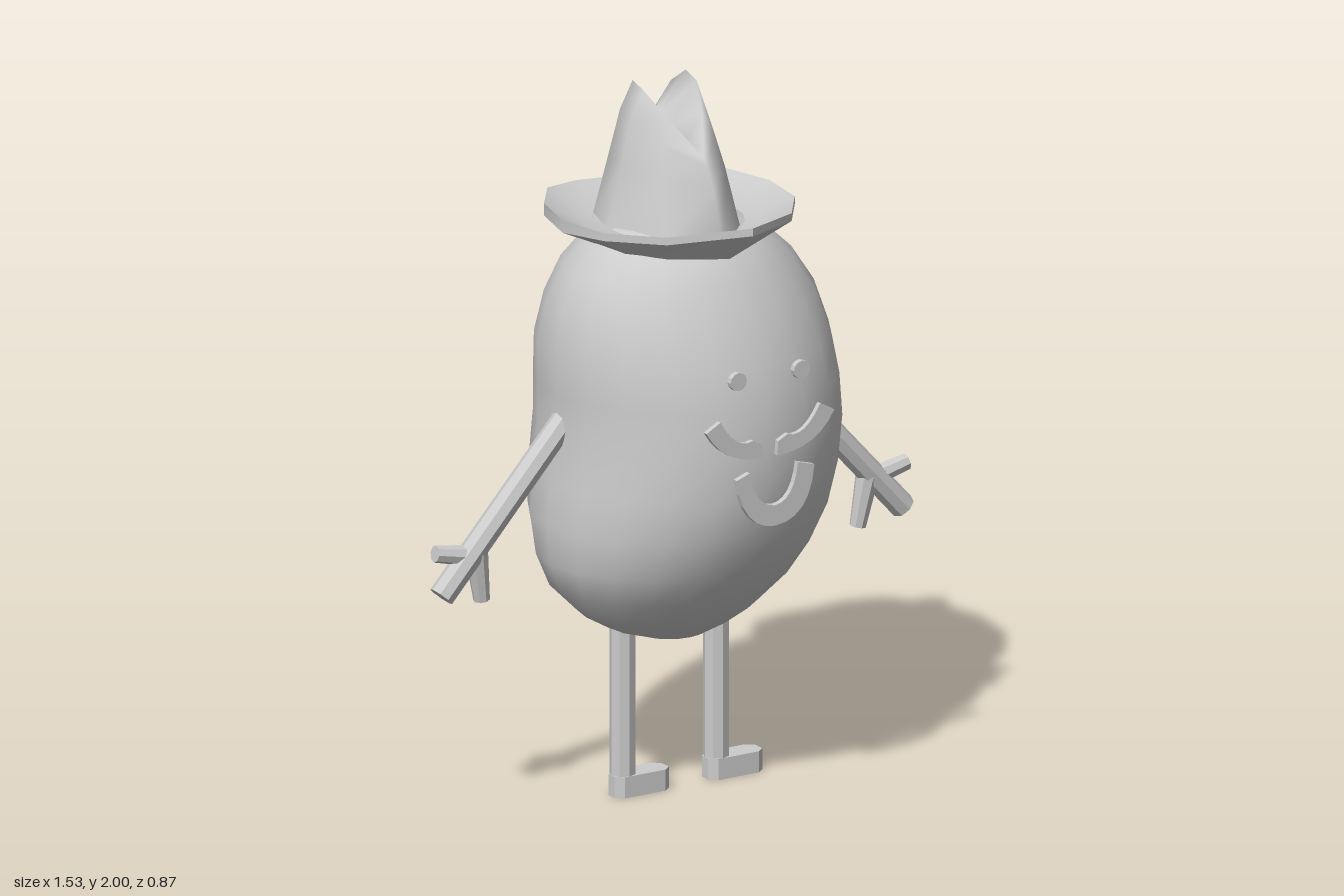
import * as THREE from 'three';
import { mergeVertices, toCreasedNormals } from 'three/addons/utils/BufferGeometryUtils.js';

const smooth = new THREE.MeshStandardMaterial({ color: 0xcccccc, side: THREE.DoubleSide });
const flat = new THREE.MeshStandardMaterial({ color: 0xcccccc, flatShading: true });

function add(parent, name, geometry, material) {
  const mesh = new THREE.Mesh(geometry, material);
  mesh.name = name;
  parent.add(mesh);
  return mesh;
}

// Skin a stack of closed rings of [x, y, z] points
function loft(rings) {
  const n = rings[0].length, index = [];
  for (let i = 0; i < rings.length - 1; i++) {
    for (let j = 0; j < n; j++) {
      const a = i * n + j, b = i * n + (j + 1) % n;
      index.push(a, a + n, b, b, a + n, b + n);
    }
  }
  const geo = new THREE.BufferGeometry();
  geo.setAttribute('position', new THREE.Float32BufferAttribute(rings.flat(2), 3));
  geo.setIndex(index);
  const merged = mergeVertices(geo, 1e-4);
  merged.computeVertexNormals();
  return merged;
}

// Complete a half outline (back to front along +x) into a mirrored loop
const mirrorLoop = (half) => [
  ...half,
  ...half.slice(1, -1).reverse().map(([x, y, z]) => [-x, y, z]),
];

// Bean-shaped body: [y, right x, left x, half depth]
function bodyGeometry() {
  const rows = [
    [0.43, 0, 0, 0], [0.44, -0.1, 0.1, 0.09], [0.47, -0.19, 0.17, 0.14],
    [0.52, -0.275, 0.245, 0.205], [0.6, -0.355, 0.33, 0.28], [0.69, -0.39, 0.39, 0.335],
    [0.8, -0.4, 0.435, 0.385], [0.92, -0.388, 0.46, 0.41], [1.05, -0.37, 0.47, 0.42],
    [1.17, -0.372, 0.463, 0.412], [1.28, -0.376, 0.445, 0.39], [1.4, -0.355, 0.405, 0.345],
    [1.5, -0.31, 0.34, 0.295], [1.57, -0.245, 0.265, 0.245], [1.61, -0.18, 0.19, 0.19],
    [1.632, -0.1, 0.1, 0.1], [1.637, 0, 0, 0],
  ];
  const sides = 20;
  return loft(rows.map(([y, right, left, depth]) =>
    Array.from({ length: sides }, (_, j) => {
      const a = (j / sides) * Math.PI * 2;
      const x = (left + right) / 2 + ((left - right) / 2) * Math.cos(a);
      return [x, y, -0.01 + depth * Math.sin(a)];
    })));
}

// Upturned brim with a raised point at the front
function brimGeometry() {
  const rim = mirrorLoop([
    [0, 1.635, -0.345], [0.09, 1.638, -0.355], [0.2, 1.645, -0.325], [0.29, 1.65, -0.2],
    [0.332, 1.652, -0.04], [0.305, 1.657, 0.13], [0.2, 1.668, 0.28], [0, 1.692, 0.4],
  ]);
  const ring = (scale, y) => rim.map(([x, , z]) => [x * scale, y, z * scale]);
  const lip = rim.map(([x, y, z]) => [x, y - (z > 0 ? 0.022 : 0.035), z]);
  return toCreasedNormals(
    loft([ring(0.4, 1.585), ring(0.7, 1.572), lip, rim, ring(0.7, 1.606), ring(0.4, 1.605)]), 0.7);
}

// Pinched crown with two peaks and a valley between them
function crownGeometry() {
  const base = [[0, 1.6, -0.155], [0.08, 1.6, -0.175], [0.15, 1.6, -0.175],
    [0.19, 1.6, -0.04], [0.125, 1.6, 0.14], [0, 1.6, 0.25]];
  const middle = [[0, 1.77, -0.125], [0.065, 1.77, -0.15], [0.12, 1.77, -0.145],
    [0.145, 1.78, -0.035], [0.1, 1.77, 0.1], [0, 1.75, 0.2]];
  const upper = [[0, 1.87, -0.11], [0.06, 1.9, -0.13], [0.1, 1.91, -0.115],
    [0.118, 1.9, -0.035], [0.085, 1.86, 0.07], [0, 1.8, 0.17]];
  const rim = [[0, 1.9, -0.1], [0.06, 1.965, -0.11], [0.085, 2, -0.075],
    [0.085, 1.985, -0.02], [0.055, 1.92, 0.055], [0, 1.825, 0.15]];
  const valley = [[0, 1.905, -0.09], [0, 1.905, -0.075], [0, 1.9, -0.06],
    [0, 1.88, -0.01], [0, 1.85, 0.06], [0, 1.82, 0.14]];
  return loft([base, middle, upper, rim, valley].map(mirrorLoop));
}

// Faceted rod between two points
function rod(parent, name, from, to, r0, r1 = r0) {
  const a = new THREE.Vector3(...from), b = new THREE.Vector3(...to);
  const dir = b.clone().sub(a);
  const mesh = add(parent, name, new THREE.CylinderGeometry(r1, r0, dir.length(), 8), flat);
  mesh.position.copy(a).add(b).multiplyScalar(0.5);
  mesh.quaternion.setFromUnitVectors(new THREE.Vector3(0, 1, 0), dir.normalize());
  return mesh;
}

const outline = (points) => new THREE.Shape(points.map(([x, y]) => new THREE.Vector2(x, y)));

function plate(parent, name, shape, z, depth) {
  const geo = new THREE.ExtrudeGeometry(shape, { depth, bevelEnabled: false, curveSegments: 6 });
  return add(parent, name, geo.translate(0, 0, z), flat);
}

export function createModel() {
  const model = new THREE.Group();
  add(model, 'body', bodyGeometry(), smooth);

  // Hat
  const hat = new THREE.Group();
  hat.name = 'hat';
  add(hat, 'hatBrim', brimGeometry(), smooth);
  add(hat, 'hatCrown', crownGeometry(), smooth);
  model.add(hat);

  // Face: floating plates just in front of the body
  const face = new THREE.Group();
  face.name = 'face';
  for (const x of [-0.058, 0.145]) {
    const eye = add(face, 'eye', new THREE.CylinderGeometry(0.026, 0.026, 0.017, 12), flat);
    eye.rotation.x = Math.PI / 2;
    eye.position.set(x, 1.27, 0.411);
  }
  for (const s of [-1, 1]) {
    const half = new THREE.Shape();
    const x = (d) => 0.035 + s * d;
    half.moveTo(x(0.022), 1.045);
    half.quadraticCurveTo(x(0.15), 1.045, x(0.205), 1.145);
    half.lineTo(x(0.16), 1.17);
    half.quadraticCurveTo(x(0.11), 1.08, x(0.055), 1.1);
    half.lineTo(x(0.025), 1.085);
    plate(face, 'moustacheHalf', half, 0.418, 0.015);
  }
  const mouth = outline([[-0.074, 0.995], [-0.032, 1.01]]);
  mouth.quadraticCurveTo(-0.015, 0.91, 0.048, 0.905);
  mouth.quadraticCurveTo(0.11, 0.91, 0.122, 1.015);
  mouth.lineTo(0.175, 1);
  mouth.quadraticCurveTo(0.16, 0.85, 0.048, 0.847);
  mouth.quadraticCurveTo(-0.055, 0.85, -0.074, 0.995);
  plate(face, 'mouth', mouth, 0.418, 0.017);
  model.add(face);

  // Arms with three-fingered hands
  for (const s of [-1, 1]) {
    const arm = new THREE.Group();
    arm.name = s > 0 ? 'leftArm' : 'rightArm';
    const z = -0.01;
    rod(arm, 'armAndMiddleFinger', [s * 0.3, 1.145, z], [s * 0.74, 0.66, z], 0.036);
    rod(arm, 'outerFinger', [s * 0.62, 0.755, z], [s * 0.755, 0.782, z - 0.008], 0.03, 0.024);
    rod(arm, 'innerFinger', [s * 0.63, 0.785, z], [s * 0.603, 0.625, z - 0.012], 0.034, 0.023);
    model.add(arm);
  }

  // Legs and sideways-pointing feet
  for (const x of [-0.165, 0.135]) {
    const leg = new THREE.Group();
    leg.name = x > 0 ? 'leftLeg' : 'rightLeg';
    rod(leg, 'shin', [x, 0, 0], [x, 0.55, 0], 0.036);
    const sole = outline([[-0.036, -0.015], [-0.015, -0.036], [0.115, -0.036], [0.137, -0.018],
      [0.137, 0.018], [0.115, 0.036], [-0.015, 0.036], [-0.036, 0.015]]);
    const foot = plate(leg, 'foot', sole, 0, 0.06);
    foot.rotation.x = -Math.PI / 2;
    foot.position.x = x;
    model.add(leg);
  }
  return model;
}
